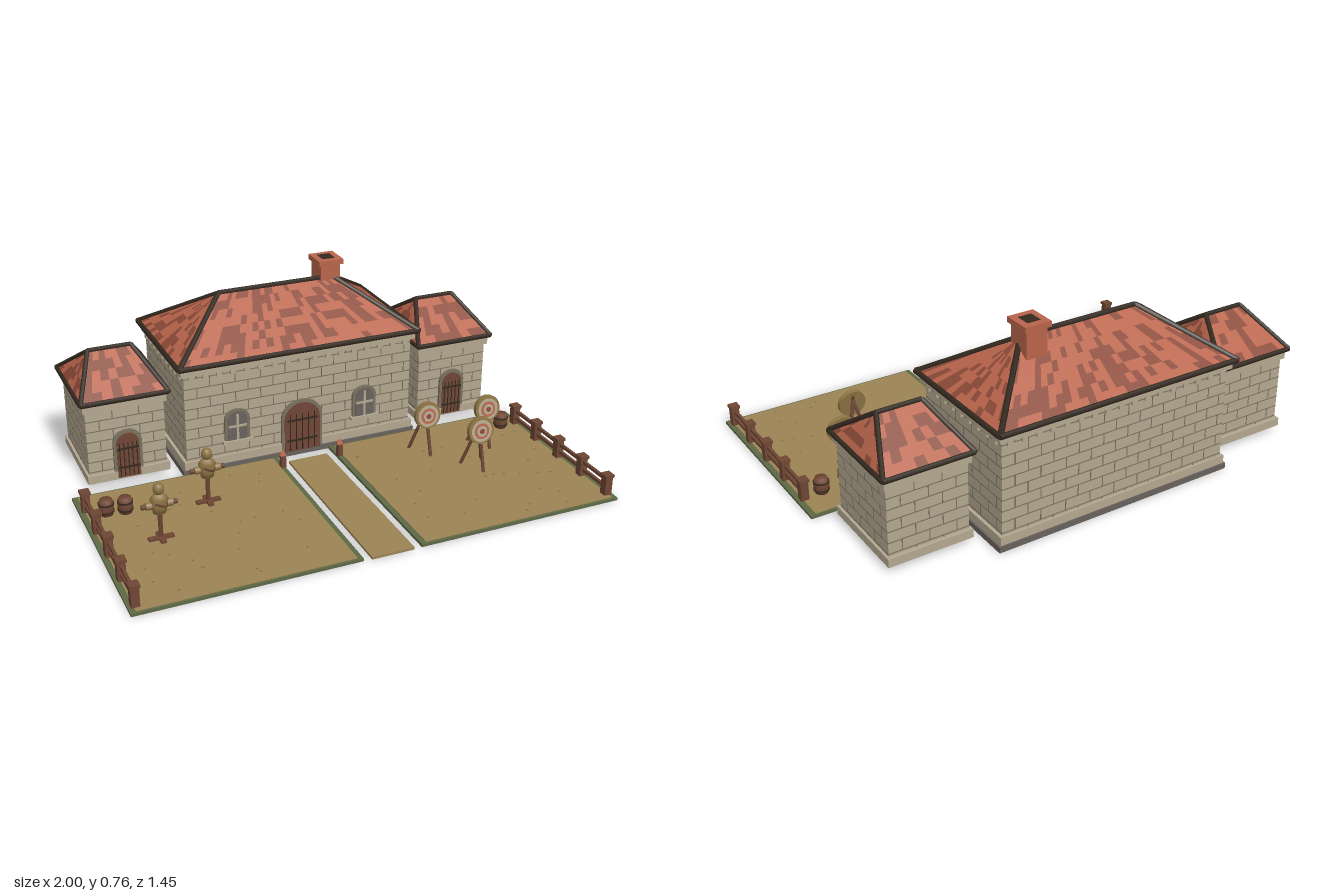
import * as THREE from 'three';
import { mergeGeometries } from 'three/addons/utils/BufferGeometryUtils.js';

const mat = (name, color, side = THREE.FrontSide) => {
  const m = new THREE.MeshStandardMaterial({ color, side });
  m.name = name;
  return m;
};
const M = {
  stone: mat('stone', 0xb3a78f), mortar: mat('mortar', 0x7a715f), slate: mat('slate grey', 0x69625e),
  tile: mat('light roof tile', 0xb8644a), tileDark: mat('dark roof tile', 0x8a4937),
  trim: mat('dark trim', 0x33291f), wood: mat('wood', 0x6f4634),
  sand: mat('sand', 0x9c8454), grass: mat('grass', 0x5d6845), straw: mat('straw', 0x8d7444),
};

let seed = 7;
const rand = () => (seed = (seed * 16807) % 2147483647) / 2147483647;
const V = (x, y, z) => new THREE.Vector3(x, y, z);
const boxGeo = (w, h, d, x, y, z) => new THREE.BoxGeometry(w, h, d).translate(x, y, z);

function add(parent, name, geo, material) {
  const mesh = new THREE.Mesh(geo, material);
  mesh.name = name;
  parent.add(mesh);
  return mesh;
}
const box = (p, name, m, w, h, d, x, y, z) => add(p, name, boxGeo(w, h, d, x, y, z), m);
function group(parent, name, x = 0, y = 0, z = 0) {
  const g = new THREE.Group();
  g.name = name;
  g.position.set(x, y, z);
  parent.add(g);
  return g;
}
// Round beam between two points
function beamGeo(a, b, r, sides = 6) {
  const d = b.clone().sub(a);
  const g = new THREE.CylinderGeometry(r, r, d.length(), sides);
  g.applyQuaternion(new THREE.Quaternion().setFromUnitVectors(V(0, 1, 0), d.normalize()));
  return g.translate((a.x + b.x) / 2, (a.y + b.y) / 2, (a.z + b.z) / 2);
}

// Staggered mortar joints for one wall face, centred on x and standing on y = 0
function jointsGeo(w, h) {
  const parts = [], row = 0.045, len = 0.11, t = 0.004;
  for (let r = 0; r * row < h; r++) {
    const y = r * row, rh = Math.min(row, h - y);
    if (r) parts.push(boxGeo(w, t, 0.002, 0, y, 0));
    for (let x = -w / 2 + (r % 2 ? len / 2 : len); x < w / 2 - 0.015; x += len)
      parts.push(boxGeo(t, rh, 0.002, x, y + rh / 2, 0));
  }
  return mergeGeometries(parts);
}
function walls(parent, w, h, d, y) {
  box(parent, 'walls', M.stone, w, h, d, 0, y + h / 2, 0);
  const sides = [0, 1, 2, 3].map((i) => {
    const [along, out] = i % 2 ? [d, w] : [w, d];
    return jointsGeo(along, h).translate(0, y, out / 2).rotateY((i * Math.PI) / 2);
  });
  add(parent, 'mortarJoints', mergeGeometries(sides), M.mortar);
}

// Hipped roof: four slopes of randomly toned tile patches, with dark ridges and eaves
function roof(parent, w, d, y, top, ridge, size, r) {
  const c = [V(-w / 2, y, d / 2), V(w / 2, y, d / 2), V(w / 2, y, -d / 2), V(-w / 2, y, -d / 2)];
  const L = V(-ridge, top, 0), R = V(ridge, top, 0);
  const pos = [[], []];
  const slopes = [[c[0], c[1], R, L], [c[1], c[2], R, R], [c[2], c[3], L, R], [c[3], c[0], L, L]];
  for (const [a, b, e, f] of slopes) {
    const at = (u, v) => a.clone().lerp(b, u).lerp(f.clone().lerp(e, u), v);
    const cols = Math.round(a.distanceTo(b) / size), rows = Math.max(4, Math.round(d / 2 / size));
    for (let i = 0; i < cols; i++) for (let j = 0; j < rows; j++) {
      const [p, q, s, t] = [at(i / cols, j / rows), at((i + 1) / cols, j / rows),
        at((i + 1) / cols, (j + 1) / rows), at(i / cols, (j + 1) / rows)];
      const out = pos[rand() < 0.42 ? 1 : 0];
      for (const k of [p, q, s]) out.push(k.x, k.y, k.z);
      if (s.distanceTo(t) > 1e-5) for (const k of [p, s, t]) out.push(k.x, k.y, k.z);
    }
  }
  pos.forEach((list, i) => {
    const g = new THREE.BufferGeometry();
    g.setAttribute('position', new THREE.Float32BufferAttribute(list, 3));
    g.computeVertexNormals();
    add(parent, i ? 'darkTiles' : 'lightTiles', g, i ? M.tileDark : M.tile);
  });
  const lines = [[L, R], [c[0], L], [c[3], L], [c[1], R], [c[2], R]];
  c.forEach((p, i) => lines.push([p, c[(i + 1) % 4]]));
  add(parent, 'ridgesAndEaves', mergeGeometries(lines.map(([a, b]) => beamGeo(a, b, r))), M.trim);
  box(parent, 'soffit', M.trim, w, 0.012, d, 0, y - 0.006, 0);
}

// Round-topped plate standing on y = 0
function archGeo(w, h, depth, rise = w / 2) {
  const s = new THREE.Shape();
  s.moveTo(-w / 2, 0).lineTo(w / 2, 0).lineTo(w / 2, h - rise);
  s.absellipse(0, h - rise, w / 2, rise, 0, Math.PI, false, 0);
  return new THREE.ExtrudeGeometry(s, { depth, bevelEnabled: false, curveSegments: 10 });
}
function door(parent, x, y, z, w, h) {
  const g = group(parent, 'door', x, y, z);
  add(g, 'doorSurround', archGeo(w, h, 0.012, w * 0.45), M.mortar);
  add(g, 'doorLeaf', archGeo(w - 0.025, h - 0.014, 0.016, w * 0.4), M.wood);
  for (let i = -2; i <= 2; i++)
    box(g, 'plankGap', M.trim, 0.004, h * 0.72, 0.004, i * w * 0.15, h * 0.38, 0.016);
  for (const k of [0.22, 0.62]) box(g, 'hinge', M.trim, w * 0.74, 0.008, 0.005, 0, h * k, 0.017);
}
function archedWindow(parent, x, y, z) {
  const g = group(parent, 'window', x, y, z);
  add(g, 'windowSurround', archGeo(0.11, 0.145, 0.012, 0.045), M.mortar);
  add(g, 'glass', archGeo(0.085, 0.13, 0.014, 0.036).translate(0, 0.005, 0), M.slate);
  box(g, 'mullion', M.stone, 0.01, 0.118, 0.004, 0, 0.065, 0.015);
  box(g, 'glazingBar', M.stone, 0.08, 0.01, 0.004, 0, 0.07, 0.015);
  box(g, 'sill', M.stone, 0.13, 0.014, 0.025, 0, 0, 0.01);
}

function mainHall(root) {
  const g = group(root, 'mainHall', 0, 0, -0.425);
  box(g, 'plinth', M.slate, 1.06, 0.025, 0.56, 0, 0.0125, 0);
  box(g, 'baseCourse', M.stone, 1.045, 0.035, 0.55, 0, 0.0425, 0);
  walls(g, 1.02, 0.45, 0.53, 0.025);
  box(g, 'cornice', M.stone, 1.05, 0.03, 0.56, 0, 0.461, 0);
  for (const s of [-1, 1]) {
    for (let i = -8; i <= 8; i++) box(g, 'dentil', M.stone, 0.022, 0.022, 0.014, i * 0.06, 0.437, s * 0.27);
    for (let i = -4; i <= 4; i++) box(g, 'dentil', M.stone, 0.014, 0.022, 0.022, s * 0.515, 0.437, i * 0.058);
  }
  roof(g, 1.07, 0.59, 0.487, 0.675, 0.26, 0.035, 0.011);
  door(g, 0, 0.02, 0.265, 0.185, 0.235);
  for (const s of [-1, 1]) archedWindow(g, s * 0.29, 0.12, 0.265);
  // Chimney
  const c = group(g, 'chimney', 0.245, 0, -0.035);
  box(c, 'stack', M.tile, 0.09, 0.19, 0.1, 0, 0.645, 0);
  box(c, 'cap', M.tile, 0.112, 0.022, 0.12, 0, 0.744, 0);
  box(c, 'flue', M.trim, 0.055, 0.004, 0.06, 0, 0.755, 0);
}

function wing(root, s) {
  const g = group(root, s > 0 ? 'leftWing' : 'rightWing', s * 0.745, 0, -0.395);
  box(g, 'baseCourse', M.stone, 0.345, 0.035, 0.405, 0, 0.0425, 0);
  walls(g, 0.325, 0.345, 0.375, 0.025);
  box(g, 'cornice', M.stone, 0.345, 0.03, 0.4, 0, 0.352, 0);
  roof(g, 0.36, 0.42, 0.382, 0.522, 0.09, 0.045, 0.01);
  door(g, 0, 0.03, 0.1875, 0.12, 0.21);
}

function yard(root, s) {
  const g = group(root, s > 0 ? 'leftYard' : 'rightYard');
  box(g, 'grass', M.grass, 0.88, 0.011, 0.86, s * 0.56, 0.0055, 0.29);
  box(g, 'sand', M.sand, 0.838, 0.005, 0.84, s * 0.56, 0.0115, 0.29);
  for (let i = 0; i < 30; i++)
    box(g, 'pebble', M.straw, 0.009, 0.003, 0.007, s * (0.18 + rand() * 0.76), 0.0145, -0.1 + rand() * 0.78);
  // Fence
  for (let i = 0; i < 5; i++) {
    const z = -0.015 + i * 0.1725;
    box(g, 'fencePost', M.wood, 0.032, 0.08, 0.032, s * 0.973, 0.053, z);
    box(g, 'postCap', M.wood, 0.04, 0.012, 0.04, s * 0.973, 0.097, z);
  }
  for (const y of [0.043, 0.076]) box(g, 'fenceRail', M.wood, 0.012, 0.013, 0.69, s * 0.973, y, 0.33);
  // Gate post
  box(g, 'gatePost', M.wood, 0.022, 0.06, 0.022, s * 0.13, 0.04, -0.048);
  add(g, 'gatePostTop', new THREE.ConeGeometry(0.018, 0.025, 4).rotateY(Math.PI / 4).translate(s * 0.13, 0.08, -0.048), M.tile);
}

function barrel(root, x, z) {
  const g = group(root, 'barrel', x, 0.012, z);
  const profile = [[0, 0], [0.025, 0], [0.03, 0.018], [0.031, 0.034], [0.03, 0.05], [0.025, 0.068], [0, 0.068]];
  add(g, 'staves', new THREE.LatheGeometry(profile.map((p) => new THREE.Vector2(...p)), 12), M.wood);
  for (const y of [0.018, 0.05])
    add(g, 'hoop', new THREE.CylinderGeometry(0.032, 0.032, 0.006, 12).translate(0, y, 0), M.trim);
}

function dummy(root, x, z) {
  const g = group(root, 'trainingDummy', x, 0.012, z);
  box(g, 'footBeam', M.wood, 0.1, 0.012, 0.022, 0, 0.006, 0);
  box(g, 'footBeam', M.wood, 0.022, 0.012, 0.08, 0, 0.006, 0);
  add(g, 'pole', beamGeo(V(0, 0, 0), V(0, 0.2, 0), 0.009), M.wood);
  add(g, 'arms', beamGeo(V(-0.07, 0.15, 0), V(0.07, 0.15, 0), 0.01), M.wood);
  const torso = [[0, 0.11], [0.026, 0.115], [0.03, 0.14], [0.036, 0.175], [0.024, 0.193], [0, 0.198]];
  add(g, 'torso', new THREE.LatheGeometry(torso.map((p) => new THREE.Vector2(...p)), 10).scale(1, 1, 0.72), M.straw);
  add(g, 'head', new THREE.SphereGeometry(0.022, 10, 8).scale(1, 1.15, 1).translate(0, 0.216, 0), M.straw);
  add(g, 'belt', new THREE.TorusGeometry(0.031, 0.005, 5, 14).rotateX(Math.PI / 2).scale(1, 1, 0.75)
    .rotateZ(-0.5).translate(0, 0.155, 0), M.wood);
  for (const s of [-1, 1])
    add(g, 'strawWrap', beamGeo(V(s * 0.03, 0.15, 0), V(s * 0.052, 0.15, 0), 0.015, 8), M.straw);
}

function target(root, x, z) {
  const g = group(root, 'archeryTarget', x, 0.012, z);
  for (const [fx, fz] of [[-0.05, -0.05], [0.05, -0.05], [0, 0.055]])
    add(g, 'leg', beamGeo(V(fx, 0, fz), V(-fx * 0.12, 0.215, fz > 0 ? -0.006 : 0.004), 0.007), M.wood);
  // Concentric rings, each proud of the one behind
  [[0.058, M.straw], [0.047, M.stone], [0.034, M.tile], [0.023, M.stone], [0.011, M.tileDark]].forEach(([r, m], i) =>
    add(g, i ? 'ring' : 'strawDisc', new THREE.CylinderGeometry(r, r, i ? 0.002 : 0.02, 20).rotateX(Math.PI / 2)
      .rotateX(-0.15).translate(0, 0.175, i ? 0.021 + i * 0.0015 : 0.011), m));
}

export function createModel() {
  const root = new THREE.Group();
  root.name = 'trainingYard';
  mainHall(root);
  for (const s of [-1, 1]) {
    wing(root, s);
    yard(root, s);
  }
  box(root, 'path', M.sand, 0.175, 0.01, 0.81, 0, 0.005, 0.318);
  for (const [x, z] of [[-0.905, 0.04], [-0.832, 0.052], [0.895, -0.008]]) barrel(root, x, z);
  for (const [x, z] of [[-0.51, 0.105], [-0.762, 0.295]]) dummy(root, x, z);
  for (const [x, z] of [[0.48, 0.06], [0.745, 0.1], [0.615, 0.27]]) target(root, x, z);
  return root;
}
